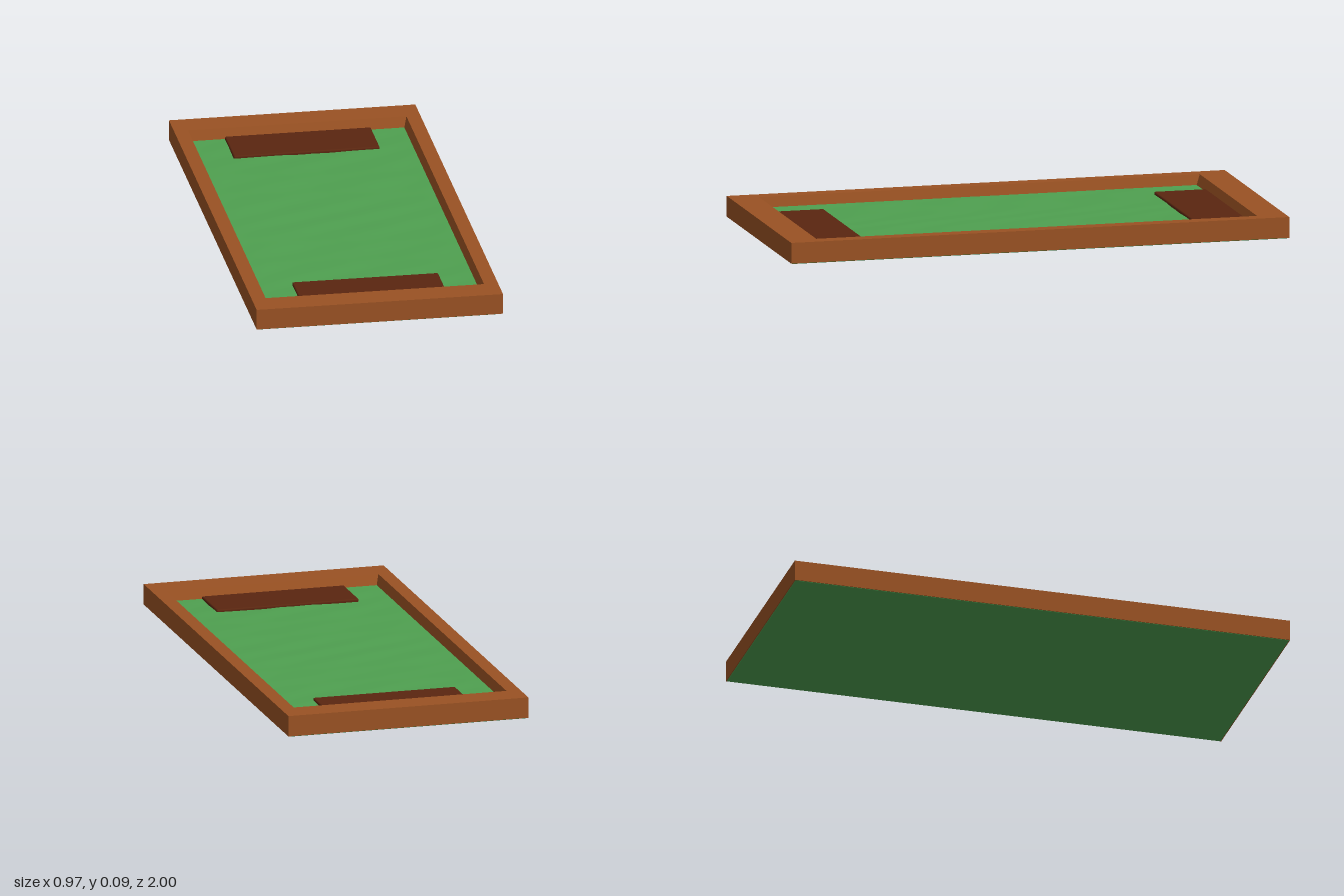
import * as THREE from 'three';
import { RoundedBoxGeometry } from 'three/addons/geometries/RoundedBoxGeometry.js';

const HALF_X = 0.485, HALF_Z = 1, TOP = 0.085, FLOOR = 0.045;

// Sweeps a closed profile of [half width, half length, height] around a mitred rectangle.
function mitredFrame(profile) {
  const corners = [[1, 1], [1, -1], [-1, -1], [-1, 1]];
  const point = (i, c) => {
    const [x, z, y] = profile[i % profile.length];
    return [x * corners[c % 4][0], y, z * corners[c % 4][1]];
  };
  const positions = [];
  for (let c = 0; c < 4; c++) {
    for (let i = 0; i < profile.length; i++) {
      const a = point(i, c), b = point(i, c + 1), d = point(i + 1, c + 1), e = point(i + 1, c);
      positions.push(...a, ...b, ...d, ...a, ...d, ...e);
    }
  }
  const geometry = new THREE.BufferGeometry();
  geometry.setAttribute('position', new THREE.Float32BufferAttribute(positions, 3));
  geometry.computeVertexNormals();
  return geometry;
}

// Gently uneven turf surface, level along its border.
function turfGeometry(width, length) {
  const geometry = new THREE.PlaneGeometry(width, length, 48, 96).rotateX(-Math.PI / 2);
  const p = geometry.attributes.position;
  for (let i = 0; i < p.count; i++) {
    const x = p.getX(i), z = p.getZ(i);
    const waves = Math.sin(17 * x + 23 * z + 2 * Math.sin(9 * z))
      + Math.sin(31 * x - 19 * z + 2 * Math.sin(13 * x))
      + 0.6 * Math.sin(41 * z + 12 * x);
    const edge = Math.min(1, (width / 2 - Math.abs(x)) * 15, (length / 2 - Math.abs(z)) * 15);
    p.setY(i, 0.0007 * waves * edge);
  }
  geometry.computeVertexNormals();
  return geometry;
}

export function createModel() {
  const model = new THREE.Group();
  const wood = new THREE.MeshStandardMaterial({ color: 0x9a5223 });
  const darkWood = new THREE.MeshStandardMaterial({ color: 0x5a2610 });
  const green = new THREE.MeshStandardMaterial({ color: 0x4fa050 });
  const add = (name, geometry, material, x = 0, y = 0, z = 0) => {
    const mesh = new THREE.Mesh(geometry, material);
    mesh.name = name;
    mesh.position.set(x, y, z);
    model.add(mesh);
  };

  // Wooden rim with slightly sloping inner walls
  add('woodenFrame', mitredFrame([
    [HALF_X, HALF_Z, 0.003],
    [HALF_X, HALF_Z, TOP],
    [0.43, 0.885, TOP],
    [0.418, 0.868, FLOOR - 0.005],
    [0.418, 0.868, 0.003],
  ]), wood);

  // Base board closing the underside
  const baseHeight = 0.036;
  add('baseBoard', new RoundedBoxGeometry(2 * HALF_X - 0.006, baseHeight, 2 * HALF_Z - 0.006, 2, 0.004),
    green, 0, baseHeight / 2, 0);

  // Turf inside the frame
  add('turf', turfGeometry(0.845, 1.75), green, 0, FLOOR, 0);

  // Low dark pads at both ends
  for (const [name, side] of [['frontPad', 1], ['backPad', -1]]) {
    add(name, new RoundedBoxGeometry(0.575, 0.03, 0.21, 2, 0.006), darkWood, 0, 0.04, side * 0.768);
  }
  return model;
}
